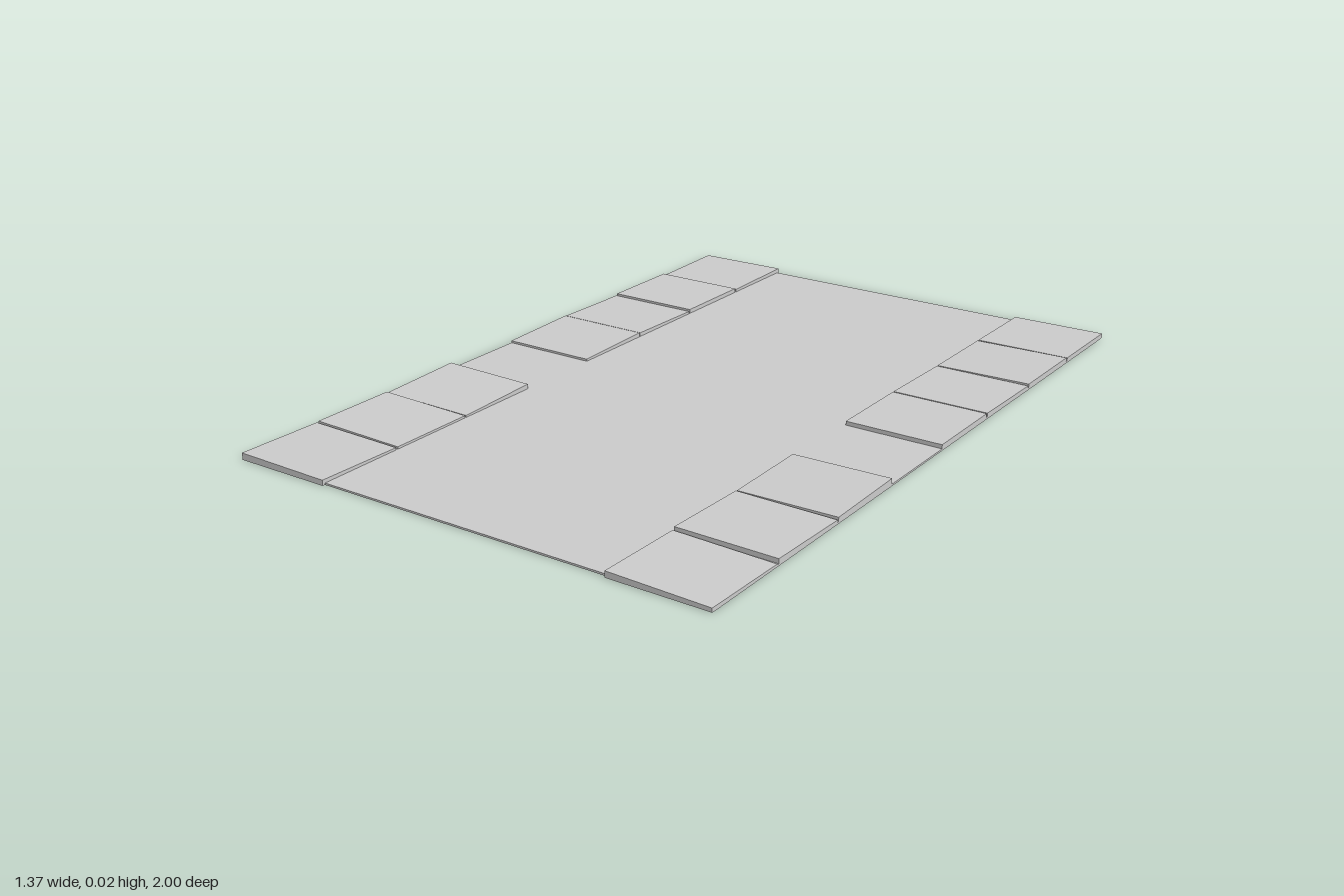
import * as THREE from 'three';

const material = new THREE.MeshStandardMaterial({ color: 0xcccccc, flatShading: true });

// One paving slab whose top face is tilted: lean raises the inner edge, pitch the front edge
function slab(side, z, height, lean, pitch) {
  const geo = new THREE.BoxGeometry(0.272, 1, 0.246);
  const p = geo.attributes.position;
  for (let i = 0; i < p.count; i++) {
    const inner = -Math.sign(p.getX(i)) * side;
    const front = Math.sign(p.getZ(i));
    const top = p.getY(i) > 0;
    p.setY(i, top ? height + inner * lean + front * pitch : 0.0005);
  }
  geo.computeVertexNormals();
  const mesh = new THREE.Mesh(geo, material);
  mesh.position.set(side * 0.55, 0, z);
  return mesh;
}

// Front to back: [height, lean, pitch]; null is a missing slab
const leftRow = [
  [0.012, 0.003, 0.002], [0.015, 0.001, 0.003], [0.016, -0.002, -0.002], null,
  [0.016, 0, 0], [0.014, 0, 0.002], [0.014, -0.002, 0], [0.013, -0.001, 0],
];
const rightRow = [
  [0.015, -0.002, 0.002], [0.014, -0.003, 0], [0.016, -0.002, -0.004], null,
  [0.014, 0, -0.003], [0.014, 0, 0.002], [0.017, 0, 0], [0.014, 0.001, -0.002],
];

export function createModel() {
  const group = new THREE.Group();

  // Flat road bed
  const road = new THREE.Mesh(new THREE.BoxGeometry(1.372, 0.005, 1.984), material);
  road.name = 'roadBed';
  road.position.y = 0.0025;
  group.add(road);

  // Uneven pavements along both sides
  for (const [name, side, row] of [['leftPavement', 1, leftRow], ['rightPavement', -1, rightRow]]) {
    const pavement = new THREE.Group();
    pavement.name = name;
    row.forEach((tilt, i) => {
      if (!tilt) return;
      const mesh = slab(side, 0.875 - i * 0.25, ...tilt);
      mesh.name = 'pavingSlab' + (i + 1);
      // End slabs reach just past the road bed
      if (i === 0) mesh.position.z += 0.002;
      if (i === 7) mesh.position.z -= 0.002;
      pavement.add(mesh);
    });
    group.add(pavement);
  }
  return group;
}
